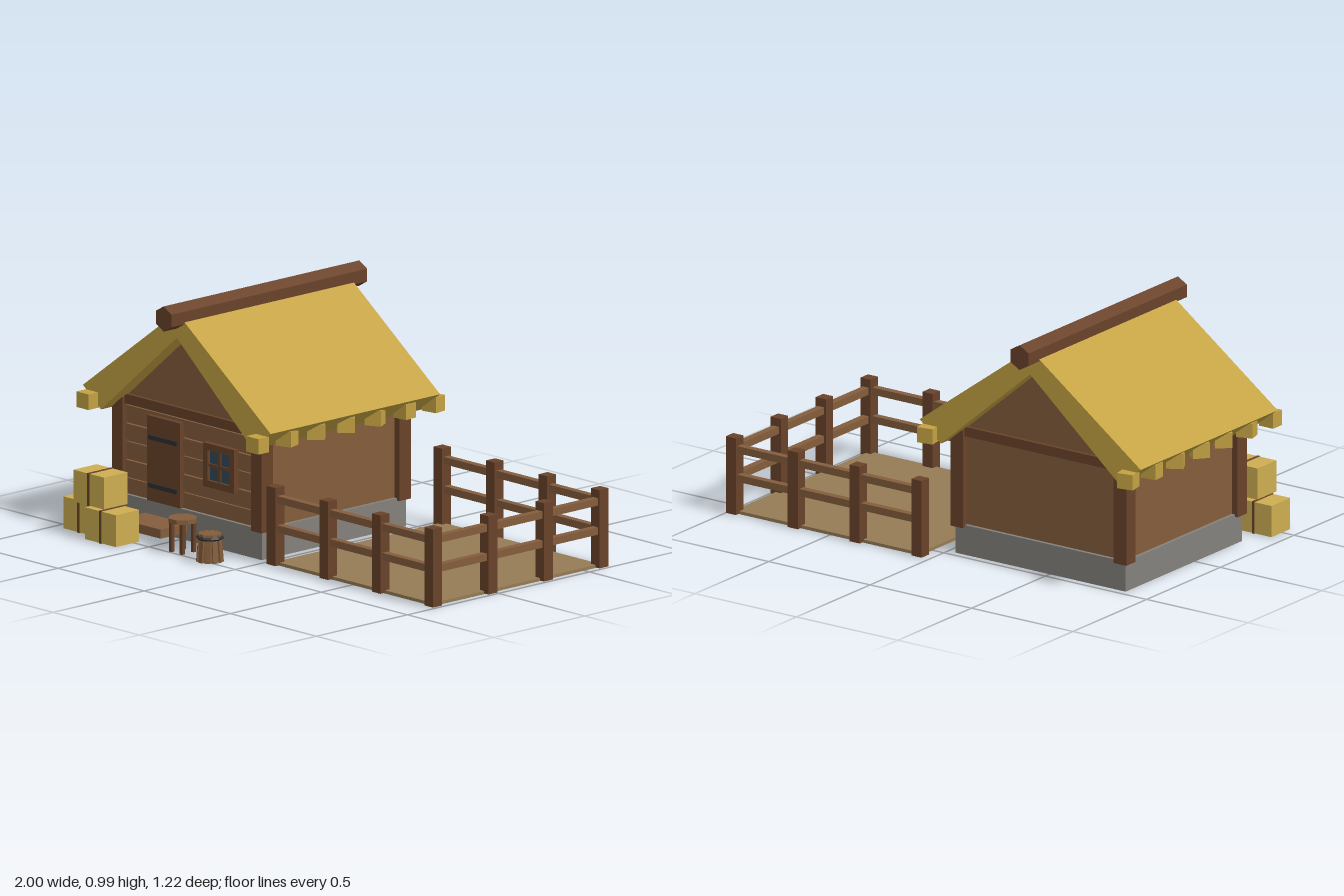
import * as THREE from 'three';

const mat = (color) => new THREE.MeshStandardMaterial({ color, flatShading: true });
const WOOD = mat(0x845d3c), DARK = mat(0x6a432a), THATCH = mat(0xc4a243), HAY = mat(0xcdae52);
const STONE = mat(0x84817c), IRON = mat(0x2c2f33), GLASS = mat(0x33495a), SOIL = mat(0x957b55);

const HX = -0.455, HZ = -0.075; // hut centre

function add(parent, name, geometry, material, x = 0, y = 0, z = 0) {
  const mesh = new THREE.Mesh(geometry, material);
  mesh.name = name;
  mesh.position.set(x, y, z);
  parent.add(mesh);
  return mesh;
}

// Box given by its limits on each axis
function box(parent, name, material, x0, x1, y0, y1, z0, z1) {
  return add(parent, name, new THREE.BoxGeometry(x1 - x0, y1 - y0, z1 - z0), material,
    (x0 + x1) / 2, (y0 + y1) / 2, (z0 + z1) / 2);
}

function group(parent, name, x = 0, y = 0, z = 0) {
  const g = new THREE.Group();
  g.name = name;
  g.position.set(x, y, z);
  parent.add(g);
  return g;
}

// Outline in x/y pulled along z, centred on the hut
function prism(parent, name, material, points, depth) {
  const shape = new THREE.Shape(points.map(([x, y]) => new THREE.Vector2(x, y)));
  const geometry = new THREE.ExtrudeGeometry(shape, { depth, bevelEnabled: false });
  return add(parent, name, geometry, material, HX, 0, HZ - depth / 2);
}

function buildWalls(root) {
  const hut = group(root, 'hut');
  box(hut, 'foundation', STONE, -0.875, -0.035, 0, 0.125, -0.47, 0.32);
  box(hut, 'walls', WOOD, -0.86, -0.05, 0.12, 0.52, -0.455, 0.305);
  for (const sx of [-1, 1]) for (const sz of [-1, 1]) {
    add(hut, 'cornerPost', new THREE.BoxGeometry(0.062, 0.41, 0.064), DARK,
      HX + sx * 0.403, 0.32, HZ + sz * 0.378);
  }
  // Front planks with narrow gaps
  for (let i = 0; i < 5; i++) {
    const y = 0.13 + i * 0.075;
    box(hut, 'plank', WOOD, -0.83, -0.08, y, y + 0.062, 0.3, 0.315 + (i % 2) * 0.004);
  }
  // Gables and their tie beams
  prism(hut, 'gable', WOOD, [[-0.42, 0.5], [0.42, 0.5], [0, 0.86]], 0.77);
  for (const sz of [-1, 1]) {
    add(hut, 'tieBeam', new THREE.BoxGeometry(0.8, 0.04, 0.03), DARK, HX, 0.52, HZ + sz * 0.385);
  }
}

function buildRoof(root) {
  const roof = group(root, 'roof');
  prism(roof, 'thatch', THATCH,
    [[-0.545, 0.555], [-0.44, 0.473], [0, 0.85], [0.44, 0.473], [0.545, 0.555], [0, 0.955]], 0.93);
  const ridge = add(roof, 'ridgeBeam', new THREE.CylinderGeometry(0.052, 0.052, 1.075, 6), DARK, HX, 0.94, HZ);
  ridge.rotation.x = Math.PI / 2;
  // Straw tufts along both eaves, each turned a little differently
  const turns = [0, 0.3, 0.75, 0.9, 0.5, 0.08, 0.17];
  for (const s of [-1, 1]) turns.forEach((turn, i) => {
    const tuft = add(roof, 'eaveTuft', new THREE.BoxGeometry(0.07, 0.064, 0.06), THATCH,
      HX + s * 0.493, 0.508, 0.412 - i * 0.161);
    tuft.rotation.y = turn;
  });
}

function buildDoor(root) {
  const door = group(root, 'door');
  box(door, 'doorPanel', DARK, -0.685, -0.495, 0.13, 0.48, 0.3, 0.335);
  for (const y of [0.195, 0.393]) box(door, 'hinge', IRON, -0.672, -0.508, y - 0.009, y + 0.009, 0.33, 0.342);
  box(root, 'step', WOOD, -0.71, -0.47, 0.033, 0.07, 0.3, 0.465);
}

function buildWindow(root) {
  const win = group(root, 'window', -0.267, 0.34, 0);
  const w = 0.09, b = 0.028;
  for (const s of [-1, 1]) {
    add(win, 'frameSide', new THREE.BoxGeometry(b, 2 * w, 0.04), DARK, s * (w - b / 2), 0, 0.32);
    add(win, 'frameRail', new THREE.BoxGeometry(2 * (w - b), b, 0.04), DARK, 0, s * (w - b / 2), 0.32);
  }
  box(win, 'glass', GLASS, -w + b, w - b, -w + b, w - b, 0.3, 0.328);
  box(win, 'verticalBar', DARK, -0.007, 0.007, -w + b, w - b, 0.3, 0.335);
  box(win, 'crossBar', DARK, -w + b, w - b, -0.007, 0.007, 0.3, 0.334);
}

function buildPen(root) {
  const pen = group(root, 'pen');
  const x0 = 0.055, x1 = 0.97, z0 = -0.585, z1 = 0.33, step = 0.305, r = 0.015;
  box(pen, 'ground', SOIL, x0, x1, 0, 0.013, z0, z1);
  const post = (x, z) => add(pen, 'fencePost', new THREE.BoxGeometry(0.05, 0.322, 0.05), DARK, x, 0.164, z);
  for (let i = 0; i < 4; i++) {
    post(x0 + i * step, z0);
    post(x0 + i * step, z1);
    if (i === 1 || i === 2) post(x1, z0 + i * step);
  }
  for (const y of [0.155, 0.275]) {
    for (const z of [z0, z1]) box(pen, 'fenceRail', WOOD, x0, x1, y - r, y + r, z - r, z + r);
    box(pen, 'fenceRail', WOOD, x1 - r, x1 + r, y - r, y + r, z0, z1);
  }
}

function buildHay(root) {
  for (const [x, y, z] of [[-0.857, 0.068, 0.485], [-0.67, 0.068, 0.542], [-0.767, 0.2, 0.515]]) {
    const bale = group(root, 'hayBale', x, y, z);
    add(bale, 'straw', new THREE.BoxGeometry(0.178, 0.131, 0.128), HAY);
    add(bale, 'strap', new THREE.BoxGeometry(0.012, 0.135, 0.132), DARK);
  }
}

function buildStool(root) {
  const stool = group(root, 'stool', -0.347, 0, 0.46);
  const seat = add(stool, 'seat', new THREE.CylinderGeometry(0.06, 0.06, 0.018, 8), WOOD, 0, 0.135, 0);
  seat.rotation.y = Math.PI / 8;
  for (const sx of [-1, 1]) for (const sz of [-1, 1]) {
    add(stool, 'stoolLeg', new THREE.BoxGeometry(0.016, 0.126, 0.016), DARK, sx * 0.031, 0.065, sz * 0.031);
  }
}

function buildBucket(root) {
  const bucket = group(root, 'bucket', -0.16, 0, 0.487);
  add(bucket, 'body', new THREE.CylinderGeometry(0.042, 0.05, 0.113, 10), WOOD, 0, 0.061, 0);
  // Staves leaning in towards the top
  for (let i = 0; i < 10; i++) {
    const side = group(bucket, 'staveMount');
    side.rotation.y = (i / 10) * Math.PI * 2;
    const stave = add(side, 'stave', new THREE.BoxGeometry(0.022, 0.115, 0.008), WOOD, 0, 0.061, 0.046);
    stave.rotation.x = -0.08;
  }
  const band = add(bucket, 'band', new THREE.TorusGeometry(0.05, 0.007, 4, 10), IRON, 0, 0.102, 0);
  band.rotation.x = Math.PI / 2;
}

export function createModel() {
  const root = new THREE.Group();
  root.name = 'farmHut';
  [buildWalls, buildRoof, buildDoor, buildWindow, buildPen, buildHay, buildStool, buildBucket]
    .forEach((build) => build(root));
  return root;
}
